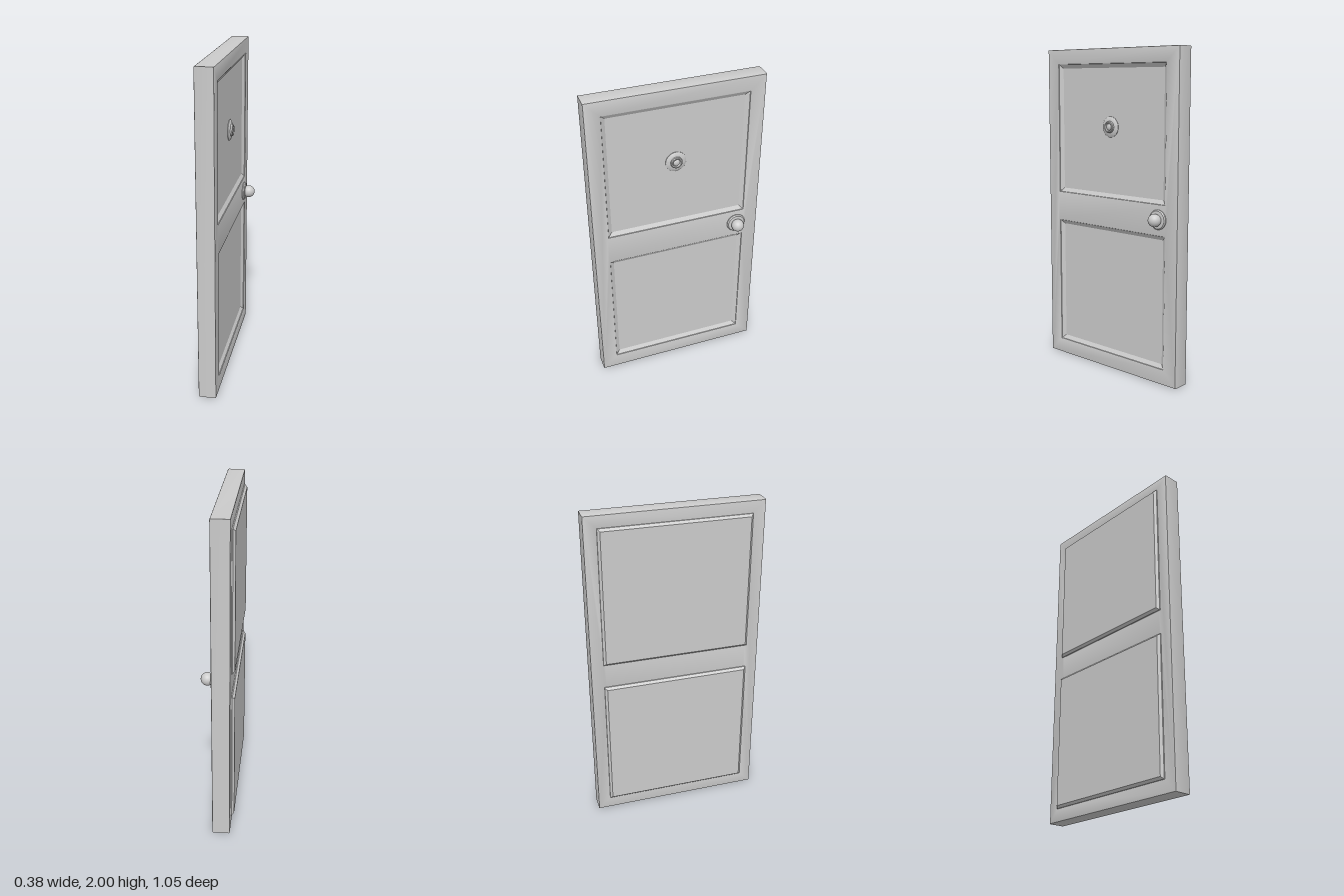
import * as THREE from 'three';
import { toCreasedNormals } from 'three/addons/utils/BufferGeometryUtils.js';

const material = new THREE.MeshStandardMaterial({ color: 0xcccccc });
const WIDTH = 1.057, HEIGHT = 2, HALF = 0.054, ROUND = 0.006;

function part(name, geometry, x = 0, y = 0, z = 0) {
  const mesh = new THREE.Mesh(geometry, material);
  mesh.name = name;
  mesh.position.set(x, y, z);
  return mesh;
}

function rect(PathType, x, y0, y1) {
  return new PathType([[-x, y0], [x, y0], [x, y1], [-x, y1]].map(p => new THREE.Vector2(...p)));
}

// Slab with two panel openings and softly rounded edges
function frameGeometry(openings) {
  const shape = rect(THREE.Shape, WIDTH / 2, 0, HEIGHT);
  for (const [y0, y1] of openings) shape.holes.push(rect(THREE.Path, 0.434, y0, y1));
  const geometry = new THREE.ExtrudeGeometry(shape, {
    depth: 2 * (HALF - ROUND), bevelThickness: ROUND, bevelSize: ROUND,
    bevelOffset: -ROUND, bevelSegments: 2,
  });
  geometry.translate(0, 0, ROUND - HALF);
  return toCreasedNormals(geometry, 0.6);
}

// Panel lofted front to back: sunk in front, raised behind
function panelGeometry(y0, y1) {
  // each ring: growth beyond the opening, depth
  const rings = [[-0.024, 0.034], [0, HALF - ROUND + 0.001], [0, -HALF + 0.004],
    [0.018, -HALF + 0.004], [0.018, -HALF - 0.006], [0.004, -HALF - 0.02]];
  const positions = [], index = [];
  rings.forEach(([g, z], i) => {
    const x = 0.434 + g, a = y0 - g, b = y1 + g;
    positions.push(-x, a, z, x, a, z, x, b, z, -x, b, z);
    if (i === 0) return;
    for (let k = 0; k < 4; k++) {
      const p = (i - 1) * 4 + k, q = (i - 1) * 4 + (k + 1) % 4;
      index.push(p, p + 4, q, q, p + 4, q + 4);
    }
  });
  const e = (rings.length - 1) * 4;
  index.push(0, 1, 2, 0, 2, 3, e, e + 2, e + 1, e, e + 3, e + 2);
  const indexed = new THREE.BufferGeometry();
  indexed.setAttribute('position', new THREE.Float32BufferAttribute(positions, 3));
  indexed.setIndex(index);
  const geometry = indexed.toNonIndexed();
  geometry.computeVertexNormals();
  return geometry;
}

// Turned fitting whose axis points out of the door
function turned(profile) {
  const geometry = new THREE.LatheGeometry(profile.map(p => new THREE.Vector2(...p)), 40);
  geometry.rotateX(Math.PI / 2);
  return toCreasedNormals(geometry, 0.6);
}

export function createModel() {
  const model = new THREE.Group();
  model.name = 'door';

  // The whole door stands turned about the vertical axis
  const leaf = new THREE.Group();
  leaf.name = 'doorLeaf';
  leaf.rotation.y = THREE.MathUtils.degToRad(77.4);
  leaf.position.x = -0.0225;
  model.add(leaf);

  const openings = [[0.097, 0.908], [1.097, 1.908]];
  leaf.add(part('frame', frameGeometry(openings)));
  openings.forEach(([y0, y1], i) =>
    leaf.add(part(i ? 'upperPanel' : 'lowerPanel', panelGeometry(y0, y1))));

  // Knob with its round plate and short neck
  const knob = new THREE.Group();
  knob.name = 'knob';
  knob.position.set(0.3875, 1.007, HALF);
  knob.add(part('knobPlate', turned([[0.059, -0.004], [0.059, 0.006], [0.053, 0.013],
    [0.03, 0.015], [0.022, 0.022], [0, 0.022]])));
  knob.add(part('knobBall', new THREE.SphereGeometry(0.039, 32, 24), 0, 0, 0.035));
  leaf.add(knob);

  // Peephole: flat plate, raised ring and a small lens
  const peephole = new THREE.Group();
  peephole.name = 'peephole';
  peephole.position.set(-0.005, 1.53, 0.034);
  peephole.add(part('peepholePlate', turned([[0.063, -0.004], [0.063, 0.003], [0.057, 0.008],
    [0.036, 0.011], [0.035, 0.02], [0.031, 0.024], [0.025, 0.024], [0.022, 0.014], [0, 0.014]])));
  const lens = part('peepholeLens', new THREE.SphereGeometry(0.02, 24, 16), 0, 0, 0.014);
  lens.scale.z = 0.5;
  peephole.add(lens);
  leaf.add(peephole);

  return model;
}
